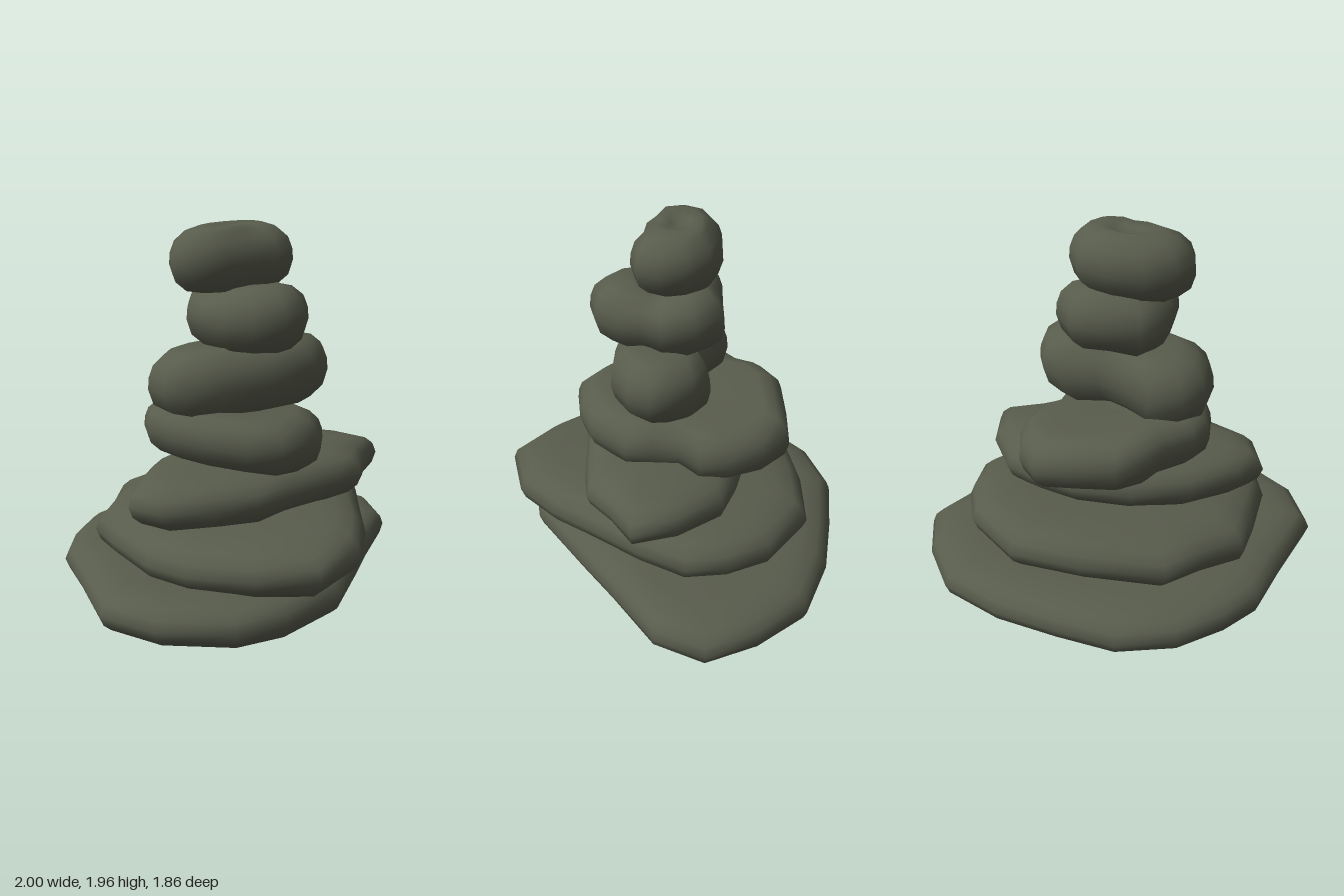
import * as THREE from 'three';

// Edge profiles: [inset from the rim, height], both in units of half thickness
const SLAB = [[1.9, -0.97], [1.1, -0.86], [0.5, -0.7], [0.16, -0.4], [0, 0], [0.16, 0.38], [0.5, 0.66], [1.1, 0.82], [1.9, 0.92]];
const BOULDER = [[1, -0.99], [0.5, -0.91], [0.14, -0.6], [0, -0.15], [0.03, 0.2], [0.16, 0.54], [0.5, 0.83], [1, 0.97]];

// One pebble: plan outline of [x, z] points around a centre, rounded at the rim.
// tilt leans it along x and z, dip sinks the middle, saddle lowers the top along x.
function pebble(material, name, { edge, outline, centre, mid, half, tilt = [0, 0], dip = 0, saddle = 0 }) {
  const [cx, cz] = centre;
  const rim = outline
    .map(([x, z]) => ({ a: Math.atan2(z - cz, x - cx), r: Math.hypot(x - cx, z - cz) }))
    .sort((p, q) => p.a - q.a);
  const n = rim.length;
  const position = [];
  const index = [];

  const add = (a, r, h) => {
    const x = cx + r * Math.cos(a);
    const z = cz + r * Math.sin(a);
    const lower = h > 0 ? 1 - saddle * Math.exp(-(((z - cz) / 0.1) ** 2)) : 1;
    const y = mid + tilt[0] * x + tilt[1] * z + h * half * lower;
    position.push(x, Math.max(0, y), z);
  };

  // Rings from the underside over the rim to the top
  const rings = [
    (r) => [r * 0.25, -1],
    ...edge.map(([inset, h]) => (r) => [r - Math.min(inset * half, r * 0.5), h]),
    (r) => [r * 0.25, 1 - dip * 0.4],
  ];
  rings.forEach((ring) => rim.forEach(({ a, r }) => add(a, ...ring(r))));
  const bottom = n * rings.length;
  add(0, 0, -1);
  add(0, 0, 1 - dip);

  for (let j = 0; j < n; j++) {
    const k = (j + 1) % n;
    for (let i = 0; i < rings.length - 1; i++) {
      const a = i * n + j, b = i * n + k;
      index.push(a, a + n, b, b, a + n, b + n);
    }
    const last = (rings.length - 1) * n;
    index.push(bottom, j, k, bottom + 1, last + k, last + j);
  }

  const geometry = new THREE.BufferGeometry();
  geometry.setAttribute('position', new THREE.Float32BufferAttribute(position, 3));
  geometry.setIndex(index);
  geometry.computeVertexNormals();
  const mesh = new THREE.Mesh(geometry, material);
  mesh.name = name;
  return mesh;
}

export function createModel() {
  const group = new THREE.Group();
  group.name = 'stackedStones';
  const stone = new THREE.MeshStandardMaterial({ color: 0x585c4c });
  stone.name = 'mossy grey stone';
  const add = (name, spec) => group.add(pebble(stone, name, spec));

  // Broad base slab
  add('baseStone', {
    edge: SLAB, centre: [-0.05, 0], mid: 0.148, half: 0.132, tilt: [-0.025, 0.012],
    outline: [[1, -0.38], [0.93, -0.1], [0.66, 0.18], [0.46, 0.4], [0.15, 0.72], [-0.22, 0.86],
      [-0.49, 0.86], [-0.82, 0.68], [-1, 0.42], [-0.97, -0.05], [-0.96, -0.33], [-0.86, -0.54],
      [-0.69, -0.76], [-0.42, -0.91], [-0.1, -0.93], [0.25, -0.93], [0.6, -0.85], [0.84, -0.63]],
  });

  // Second slab, pointed at the front
  add('secondStone', {
    edge: SLAB, centre: [-0.05, 0], mid: 0.4, half: 0.147, tilt: [0.045, -0.015],
    outline: [[-0.08, 0.925], [0.22, 0.79], [0.39, 0.56], [0.5, 0.33], [0.65, 0.03], [0.74, -0.23],
      [0.68, -0.44], [0.54, -0.64], [0.22, -0.8], [-0.14, -0.74], [-0.55, -0.6], [-0.67, -0.4],
      [-0.82, -0.2], [-0.8, 0], [-0.74, 0.35], [-0.62, 0.56], [-0.36, 0.78]],
  });

  // Third slab, wide along x
  add('thirdStone', {
    edge: SLAB, centre: [0, 0.02], mid: 0.632, half: 0.145, tilt: [0.015, 0],
    outline: [[-0.77, 0.21], [-0.67, 0.38], [-0.42, 0.46], [-0.2, 0.51], [0, 0.45], [0.35, 0.375],
      [0.5, 0.33], [0.62, 0.18], [0.77, 0.04], [0.67, -0.18], [0.47, -0.38], [0.3, -0.42],
      [0.05, -0.44], [-0.25, -0.36], [-0.52, -0.18], [-0.7, 0.06]],
  });

  // Fourth stone, long along z with a slight waist on its left
  add('fourthStone', {
    edge: BOULDER, centre: [-0.08, -0.06], mid: 0.878, half: 0.143, tilt: [-0.095, 0], dip: 0.3,
    outline: [[0.14, -0.67], [0.28, -0.56], [0.37, -0.4], [0.39, -0.24], [0.32, -0.12], [0.34, 0.02],
      [0.35, 0.16], [0.22, 0.37], [0.09, 0.46], [-0.07, 0.51], [-0.22, 0.42], [-0.39, 0.27],
      [-0.5, 0.1], [-0.56, -0.08], [-0.53, -0.2], [-0.42, -0.35], [-0.38, -0.48], [-0.27, -0.59],
      [-0.05, -0.64]],
  });

  // Fifth stone, bean shaped with a hollow at the back
  add('fifthStone', {
    edge: BOULDER, centre: [-0.05, 0.02], mid: 1.188, half: 0.182, tilt: [0.06, 0.03], dip: 0.2,
    outline: [[0.44, 0.01], [0.41, -0.09], [0.33, -0.2], [0.2, -0.26], [0.02, -0.2], [-0.16, -0.22],
      [-0.3, -0.28], [-0.46, -0.22], [-0.54, -0.1], [-0.52, 0.06], [-0.46, 0.17], [-0.27, 0.24],
      [0, 0.28], [0.26, 0.24], [0.39, 0.13]],
  });

  // Sixth stone, two lobes front and back
  add('sixthStone', {
    edge: BOULDER, centre: [-0.02, 0.03], mid: 1.51, half: 0.178, tilt: [0.03, 0], dip: 0.1, saddle: 0.3,
    outline: [[0, 0.4], [0.14, 0.34], [0.22, 0.22], [0.22, 0.1], [0.27, -0.02], [0.25, -0.19],
      [0.11, -0.31], [-0.06, -0.28], [-0.25, -0.25], [-0.32, -0.1], [-0.3, 0.05], [-0.26, 0.2],
      [-0.15, 0.33]],
  });

  // Top stone, dented in the middle
  add('topStone', {
    edge: BOULDER, centre: [-0.08, -0.05], mid: 1.798, half: 0.168, tilt: [0.04, 0], dip: 0.3,
    outline: [[-0.43, -0.02], [-0.39, -0.15], [-0.25, -0.24], [-0.06, -0.27], [0.1, -0.24],
      [0.2, -0.13], [0.22, 0], [0.18, 0.12], [0.07, 0.17], [-0.07, 0.13], [-0.2, 0.16], [-0.38, 0.1]],
  });

  return group;
}
